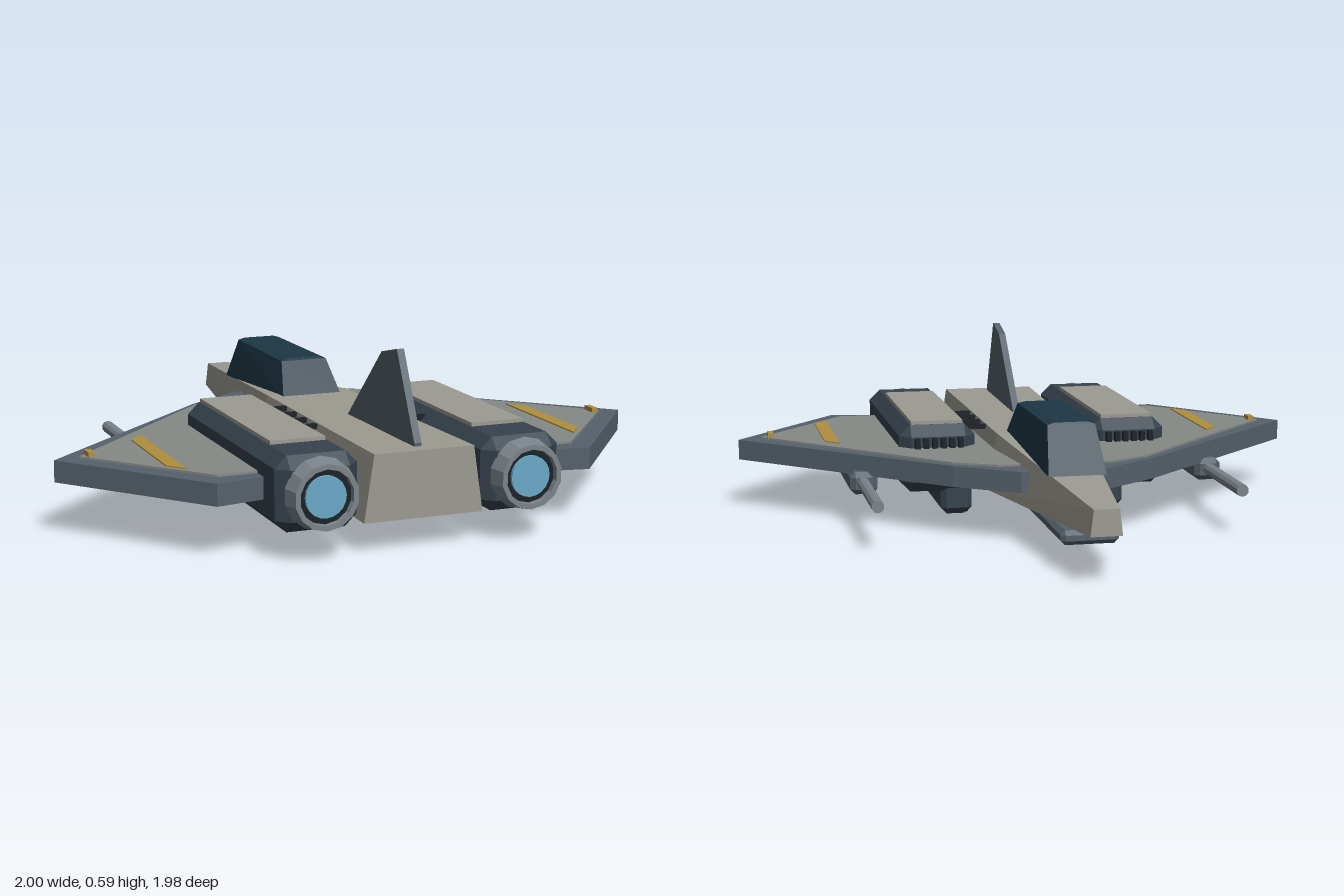
import * as THREE from 'three';
import { ConvexGeometry } from 'three/addons/geometries/ConvexGeometry.js';

const mat = (color) => new THREE.MeshStandardMaterial({ color, flatShading: true });
const HULL = mat(0x9c9b92), PANEL = mat(0x848a86), TRIM = mat(0x56616b), ENGINE = mat(0x36424d);
const DARK = mat(0x1b2127), GLASS = mat(0x1d3645), GLOW = mat(0x6aa9c8), YELLOW = mat(0xb08f3e);
const METAL = mat(0x7b848b);
METAL.side = THREE.DoubleSide;

function add(parent, name, geometry, material) {
  const mesh = new THREE.Mesh(geometry, material);
  mesh.name = name;
  parent.add(mesh);
  return mesh;
}

// Solid through symmetric cross-sections: each row is [z, y, halfWidth]
function hull(rows) {
  const points = [];
  for (const [z, y, w] of rows) points.push(new THREE.Vector3(-w, y, z), new THREE.Vector3(w, y, z));
  return new ConvexGeometry(points);
}

// Box between two corners with all edges cut off by c
function chamferBox([x0, x1], [y0, y1], [z0, z1], c) {
  const points = [];
  const hx = (x1 - x0) / 2, hy = (y1 - y0) / 2, hz = (z1 - z0) / 2;
  for (const i of [-1, 1]) for (const j of [-1, 1]) for (const k of [-1, 1]) {
    points.push(
      new THREE.Vector3(i * hx, j * (hy - c), k * (hz - c)),
      new THREE.Vector3(i * (hx - c), j * hy, k * (hz - c)),
      new THREE.Vector3(i * (hx - c), j * (hy - c), k * hz));
  }
  return new ConvexGeometry(points).translate((x0 + x1) / 2, (y0 + y1) / 2, (z0 + z1) / 2);
}

function box([x0, x1], [y0, y1], [z0, z1]) {
  return new THREE.BoxGeometry(x1 - x0, y1 - y0, z1 - z0)
    .translate((x0 + x1) / 2, (y0 + y1) / 2, (z0 + z1) / 2);
}

// Flat plate from an outline of [x, z] points, between two heights
function plate(outline, y0, y1, side) {
  const shape = new THREE.Shape(outline.map(([x, z]) => new THREE.Vector2(x * side, -z)));
  return new THREE.ExtrudeGeometry(shape, { depth: y1 - y0, bevelEnabled: false })
    .rotateX(-Math.PI / 2).translate(0, y0, 0);
}

function buildWing(side) {
  const wing = new THREE.Group();
  wing.name = side > 0 ? 'leftWing' : 'rightWing';
  const span = (a, b) => (side > 0 ? [a, b] : [-b, -a]);
  add(wing, 'wingSlab', plate(
    [[0.1, -0.41], [0.14, -0.41], [0.34, -0.265], [1, 0.37], [0.625, 0.83], [0.1, 0.735]], 0.17, 0.24, side), TRIM);
  add(wing, 'wingPanel', plate(
    [[0.1, -0.31], [0.195, -0.31], [0.335, -0.235], [0.92, 0.375], [0.6, 0.755], [0.1, 0.74]], 0.235, 0.247, side), PANEL);
  add(wing, 'wingStripe', plate(
    [[0.663, 0.18], [0.71, 0.23], [0.71, 0.6], [0.663, 0.655]], 0.245, 0.251, side), YELLOW);
  add(wing, 'wingtipLight', box(span(0.878, 0.898), [0.24, 0.262], [0.35, 0.4]), YELLOW);

  // Gun under the wing
  add(wing, 'gunMount', chamferBox(span(0.558, 0.652), [0.108, 0.185], [-0.04, 0.38], 0.018), TRIM);
  const barrel = new THREE.CylinderGeometry(0.021, 0.021, 0.42, 10).rotateX(Math.PI / 2);
  add(wing, 'gunBarrel', barrel, METAL).position.set(side * 0.608, 0.148, -0.21);
  return wing;
}

function buildEngine(side) {
  const engine = new THREE.Group();
  engine.name = side > 0 ? 'leftEngine' : 'rightEngine';
  engine.position.x = side * 0.337;
  add(engine, 'engineBody', chamferBox([-0.132, 0.132], [0.088, 0.322], [0.04, 0.93], 0.038), ENGINE);
  add(engine, 'engineTopPanel', box([-0.09, 0.09], [0.31, 0.334], [0.08, 0.745]), HULL);

  // Intake slats
  for (let i = 0; i < 6; i++) {
    const x = -0.075 + i * 0.03;
    add(engine, 'intakeSlat', box([x - 0.009, x + 0.009], [0.13, 0.28], [0.018, 0.06]), DARK);
  }

  // Nozzle with recessed glowing core
  const profile = [[0.095, 0.88], [0.114, 0.925], [0.102, 0.985], [0.086, 0.985], [0.083, 0.93]]
    .map(([r, z]) => new THREE.Vector2(r, z));
  const nozzle = new THREE.Group();
  nozzle.name = 'nozzle';
  nozzle.position.y = 0.207;
  add(nozzle, 'nozzleRing', new THREE.LatheGeometry(profile, 14).rotateX(Math.PI / 2), METAL);
  add(nozzle, 'nozzleLiner', new THREE.CylinderGeometry(0.085, 0.085, 0.05, 20).rotateX(Math.PI / 2), DARK)
    .position.z = 0.94;
  add(nozzle, 'nozzleGlow', new THREE.CylinderGeometry(0.065, 0.065, 0.05, 20).rotateX(Math.PI / 2), GLOW)
    .position.z = 0.95;
  engine.add(nozzle);

  // Pod below the engine, towards the fuselage
  const pod = new THREE.Group();
  pod.name = 'underPod';
  pod.position.x = side * -0.067;
  add(pod, 'podBody', chamferBox([-0.055, 0.055], [0.007, 0.12], [0.07, 0.55], 0.018), ENGINE);
  for (const z of [0.1, 0.34]) add(pod, 'podHatch', box([-0.032, 0.032], [0, 0.02], [z, z + 0.15]), DARK);
  engine.add(pod);

  // Pipes to the fuselage
  for (let i = 0; i < 4; i++) {
    const z = 0.16 + i * 0.095;
    add(engine, 'connectorPipe', box(
      side > 0 ? [-0.19, -0.1] : [0.1, 0.19], [0.287, 0.302], [z - 0.012, z + 0.012]), DARK);
  }
  return engine;
}

export function createModel() {
  const model = new THREE.Group();
  model.name = 'starfighter';

  // Fuselage tapering to the nose
  add(model, 'fuselage', hull([
    [-0.99, 0.152, 0.05], [-0.99, 0.235, 0.04],
    [-0.03, 0.105, 0.178], [-0.03, 0.302, 0.148],
    [0.93, 0.1, 0.197], [0.93, 0.31, 0.165]]), HULL);
  add(model, 'keel', chamferBox([-0.092, 0.092], [0.08, 0.126], [-0.79, 0.62], 0.014), TRIM);

  // Cockpit canopy
  add(model, 'canopy', hull([
    [-0.615, 0.262, 0.094], [0.015, 0.295, 0.106],
    [-0.52, 0.41, 0.078], [-0.065, 0.41, 0.082],
    [-0.515, 0.417, 0.055], [-0.075, 0.417, 0.055]]), GLASS);

  // Tail fin, drawn in profile and turned along the body
  const fin = new THREE.Shape([[0.88, 0.3], [0.88, 0.32], [0.745, 0.587], [0.63, 0.56], [0.355, 0.3]]
    .map(([z, y]) => new THREE.Vector2(-z, y)));
  add(model, 'tailFin', new THREE.ExtrudeGeometry(fin, { depth: 0.024, bevelEnabled: false })
    .translate(0, 0, -0.012).rotateY(Math.PI / 2), TRIM);

  for (const side of [-1, 1]) model.add(buildWing(side), buildEngine(side));
  return model;
}
